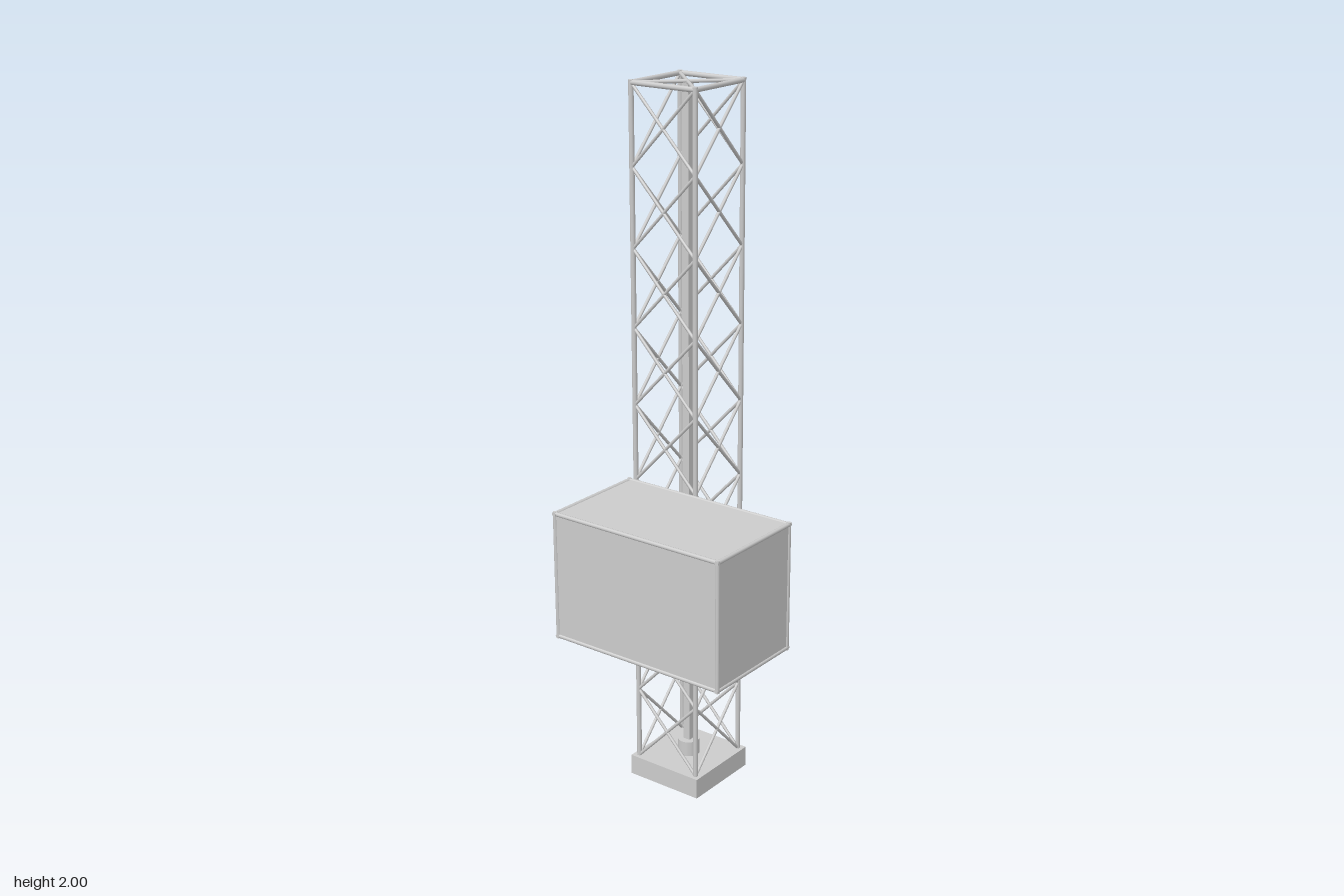
import * as THREE from 'three';

const material = new THREE.MeshStandardMaterial({ color: 0xcccccc });
const panelMaterial = new THREE.MeshStandardMaterial({ color: 0xcccccc, side: THREE.DoubleSide });

// Round bar between two points
function bar(parent, name, a, b, radius) {
  const from = new THREE.Vector3(...a), to = new THREE.Vector3(...b);
  const dir = to.clone().sub(from);
  const mesh = new THREE.Mesh(new THREE.CylinderGeometry(radius, radius, dir.length(), 8), material);
  mesh.position.copy(from).add(to).multiplyScalar(0.5);
  mesh.quaternion.setFromUnitVectors(new THREE.Vector3(0, 1, 0), dir.normalize());
  mesh.name = name;
  parent.add(mesh);
}

function solid(parent, name, geometry, x, y, z, mat = material) {
  const mesh = new THREE.Mesh(geometry, mat);
  mesh.position.set(x, y, z);
  mesh.name = name;
  parent.add(mesh);
}

// Lattice tower on a square base, with a pole up the middle
function createTower() {
  const tower = new THREE.Group();
  tower.name = 'tower';
  const half = 0.102, bottom = 0.06, top = 1.993, bays = 9;
  const corners = [[-half, -half], [half, -half], [half, half], [-half, half]];
  const at = (i, y) => [corners[i % 4][0], y, corners[i % 4][1]];

  solid(tower, 'base', new THREE.BoxGeometry(0.238, 0.06, 0.238), 0, 0.03, 0);
  solid(tower, 'pedestal', new THREE.CylinderGeometry(0.032, 0.032, 0.045, 16), 0, 0.0825, 0);
  solid(tower, 'centrePole', new THREE.BoxGeometry(0.022, 1.89, 0.022), 0, 1.045, 0);

  const step = (top - bottom) / bays;
  for (let i = 0; i < 4; i++) {
    bar(tower, 'post', at(i, bottom - 0.01), at(i, 2), 0.007);
    bar(tower, 'topRail', at(i, top), at(i + 1, top), 0.007);
    // Crossed braces on each side
    for (let k = 0; k < bays; k++) {
      const y0 = bottom + k * step, y1 = y0 + step;
      bar(tower, 'brace', at(i, y0), at(i + 1, y1), 0.0045);
      bar(tower, 'brace', at(i + 1, y0), at(i, y1), 0.0045);
    }
  }
  // Flat cross that holds the top of the pole
  for (const i of [0, 1]) bar(tower, 'topCross', at(i, top), at(i + 2, top), 0.005);
  return tower;
}

// Framed cabin beside the tower, open at the back
function createCabin() {
  const cabin = new THREE.Group();
  cabin.name = 'cabin';
  const w = 0.308, h = 0.352, d = 0.528, r = 0.006, t = 0.004;

  for (const a of [-1, 1]) {
    for (const b of [-1, 1]) {
      bar(cabin, 'frameBar', [-w / 2 - r, a * h / 2, b * d / 2], [w / 2 + r, a * h / 2, b * d / 2], r);
      bar(cabin, 'frameBar', [a * w / 2, -h / 2 - r, b * d / 2], [a * w / 2, h / 2 + r, b * d / 2], r);
      bar(cabin, 'frameBar', [a * w / 2, b * h / 2, -d / 2], [a * w / 2, b * h / 2, d / 2], r);
    }
    solid(cabin, 'sidePanel', new THREE.BoxGeometry(t, h, d), a * w / 2, 0, 0, panelMaterial);
    solid(cabin, a > 0 ? 'roofPanel' : 'floorPanel', new THREE.BoxGeometry(w, t, d), 0, a * h / 2, 0, panelMaterial);
  }
  solid(cabin, 'frontPanel', new THREE.BoxGeometry(w, h, t), 0, 0, d / 2, panelMaterial);
  return cabin;
}

export function createModel() {
  const model = new THREE.Group();
  model.name = 'latticeTowerWithCabin';
  const tower = createTower();
  tower.position.set(0.156, 0, -0.151);
  const cabin = createCabin();
  cabin.position.set(-0.115, 0.742, 0);
  model.add(tower, cabin);
  return model;
}
